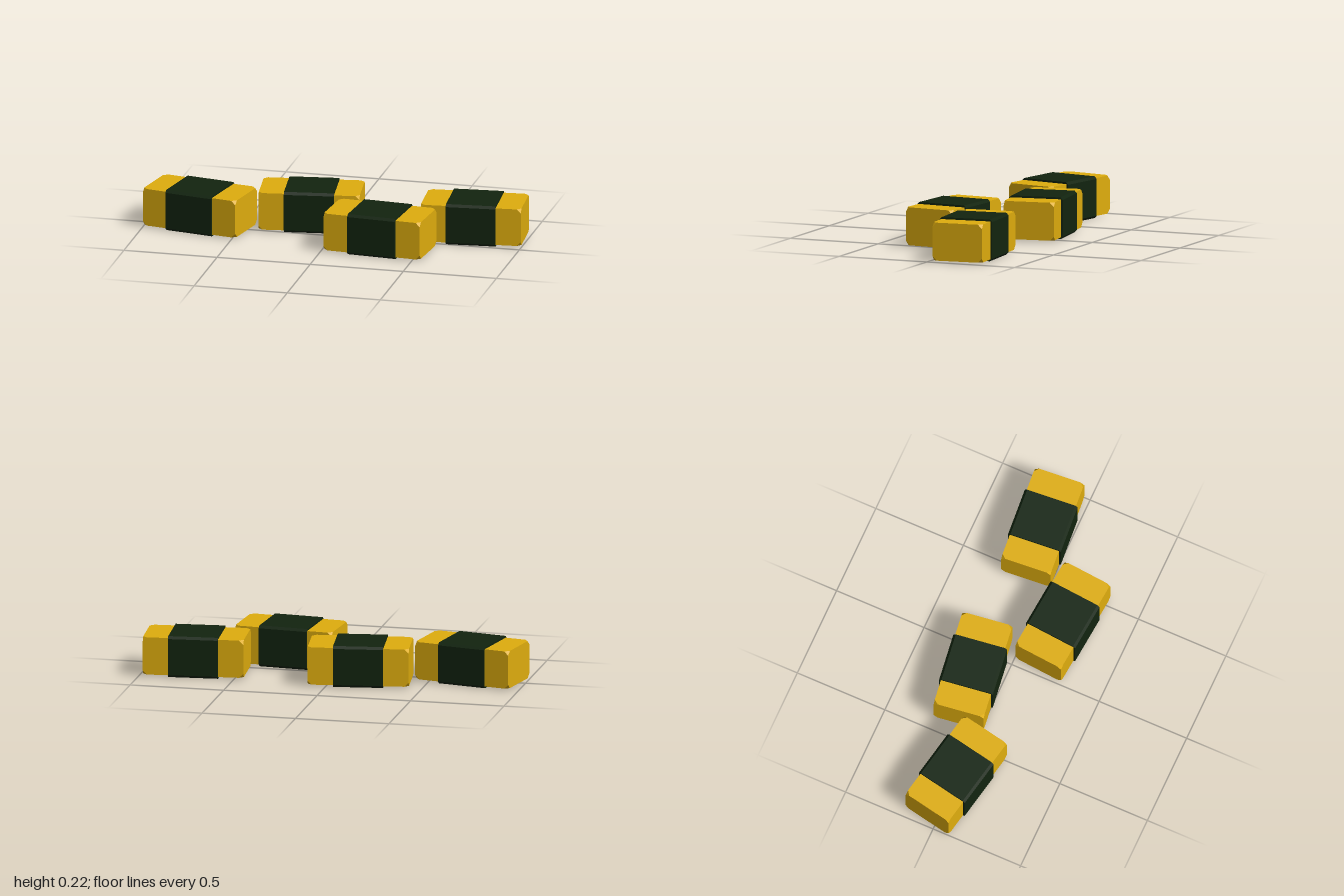
import * as THREE from 'three';
import { ConvexGeometry } from 'three/addons/geometries/ConvexGeometry.js';

const LENGTH = 0.53, WIDTH = 0.272, HEIGHT = 0.2, CORNER = 0.022;
const BAND_LENGTH = 0.262, BAND_OUT = 0.01, BAND_CHAMFER = 0.013;

// Box with its eight corners cut off
function cutCornerBox(l, h, w, c) {
  const points = [];
  for (const sx of [-1, 1]) for (const sy of [-1, 1]) for (const sz of [-1, 1]) {
    const x = sx * l / 2, y = sy * h / 2, z = sz * w / 2;
    points.push(
      new THREE.Vector3(x - sx * c, y, z),
      new THREE.Vector3(x, y - sy * c, z),
      new THREE.Vector3(x, y, z - sz * c));
  }
  return new ConvexGeometry(points);
}

// Sleeve with bevelled long edges, running along x
function bandGeometry(l, h, w, c) {
  const a = w / 2, b = h / 2;
  const outline = new THREE.Shape([
    [a - c, -b], [a, -b + c], [a, b - c], [a - c, b],
    [-a + c, b], [-a, b - c], [-a, -b + c], [-a + c, -b],
  ].map(([x, y]) => new THREE.Vector2(x, y)));
  return new THREE.ExtrudeGeometry(outline, { depth: l, bevelEnabled: false })
    .translate(0, 0, -l / 2).rotateY(Math.PI / 2);
}

export function createModel() {
  const model = new THREE.Group();
  model.name = 'wrappedBars';
  const gold = new THREE.MeshStandardMaterial({ color: 0xe0ae0e, flatShading: true });
  const green = new THREE.MeshStandardMaterial({ color: 0x12240f, flatShading: true });

  const barGeo = cutCornerBox(LENGTH, HEIGHT, WIDTH, CORNER);
  const bandGeo = bandGeometry(BAND_LENGTH, HEIGHT + 2 * BAND_OUT, WIDTH + 2 * BAND_OUT, BAND_CHAMFER);

  // Four scattered bars: x, z, turn about y
  const places = [
    [-0.714, 0.004, -0.19],
    [-0.152, -0.152, 0.133],
    [0.291, 0.162, -0.085],
    [0.725, -0.147, 0.081],
  ];
  places.forEach(([x, z, turn], i) => {
    const piece = new THREE.Group();
    piece.name = `wrappedBar${i + 1}`;
    const bar = new THREE.Mesh(barGeo, gold);
    bar.name = 'bar';
    const band = new THREE.Mesh(bandGeo, green);
    band.name = 'band';
    piece.add(bar, band);
    piece.position.set(x, HEIGHT / 2 + BAND_OUT, z);
    piece.rotation.y = turn;
    model.add(piece);
  });
  return model;
}
